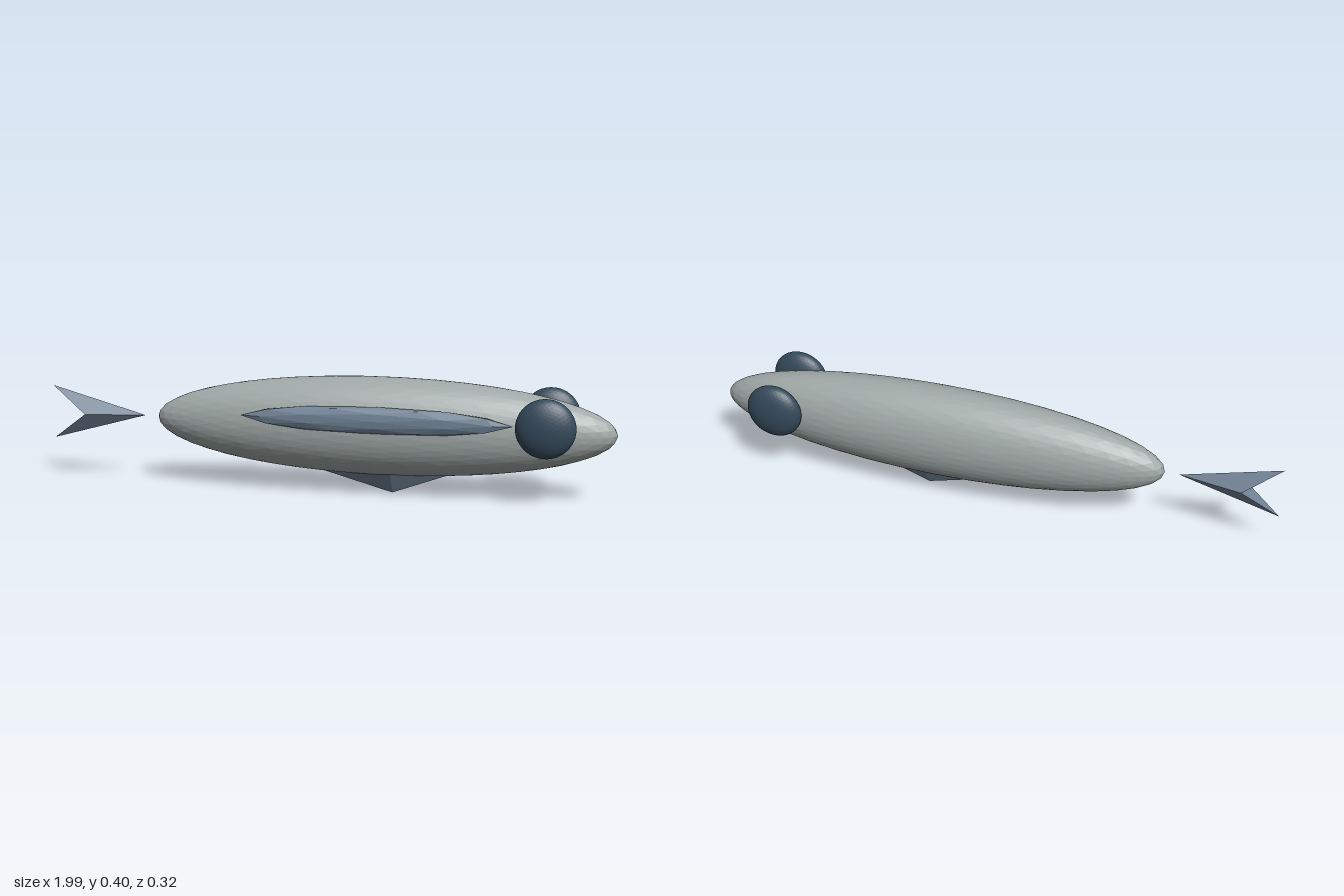
import * as THREE from 'three';

const hullGrey = new THREE.MeshStandardMaterial({ color: 0x9fa8a6 });
const slateFin = new THREE.MeshStandardMaterial({ color: 0x708396 });
const darkBlue = new THREE.MeshStandardMaterial({ color: 0x34495a });
[hullGrey, slateFin, darkBlue].forEach((m) => { m.flatShading = true; });
hullGrey.name = 'hullGrey';
slateFin.name = 'slateFin';
darkBlue.name = 'darkBlue';

// Faceted ellipsoid with given centre and radii
function ellipsoid(name, material, detail, centre, radii) {
  const mesh = new THREE.Mesh(new THREE.IcosahedronGeometry(1, detail).scale(...radii), material);
  mesh.name = name;
  mesh.position.set(...centre);
  return mesh;
}

// Flat-faced solid from a few corner points
function facets(name, material, points, faces) {
  const geometry = new THREE.BufferGeometry();
  geometry.setAttribute('position', new THREE.Float32BufferAttribute(faces.flat().flatMap((i) => points[i]), 3));
  geometry.computeVertexNormals();
  const mesh = new THREE.Mesh(geometry, material);
  mesh.name = name;
  return mesh;
}

export function createModel() {
  const model = new THREE.Group();
  model.name = 'airship';

  // Hull
  model.add(ellipsoid('hull', hullGrey, 7, [0.194, 0.235, 0], [0.8, 0.17, 0.13]));

  // Pods on both sides of the nose
  for (const side of [1, -1]) {
    model.add(ellipsoid(side > 0 ? 'frontPod' : 'backPod', darkBlue, 7,
      [0.764, 0.271, side * 0.116], [0.1, 0.1, 0.046]));
  }

  // Long panel on the front flank only
  model.add(ellipsoid('sidePanel', slateFin, 1, [0.195, 0.276, 0.126], [0.465, 0.047, 0.022]));

  // Forked tail: tip, upper point, lower point, front and back notch corners
  model.add(facets('tail', slateFin,
    [[-0.655, 0.235, 0], [-1, 0.33, 0], [-1, 0.14, 0], [-0.87, 0.235, 0.038], [-0.87, 0.235, -0.038]],
    [[0, 1, 3], [0, 3, 2], [0, 4, 1], [0, 2, 4], [1, 4, 3], [2, 3, 4]]));

  // Keel: downward pyramid sunk into the belly
  model.add(facets('keel', slateFin,
    [[0.236, 0.002, 0], [0.505, 0.1, 0], [0.236, 0.1, 0.057], [-0.12, 0.1, 0], [0.236, 0.1, -0.057]],
    [[0, 1, 2], [0, 2, 3], [0, 3, 4], [0, 4, 1], [1, 3, 2], [1, 4, 3]]));

  return model;
}
